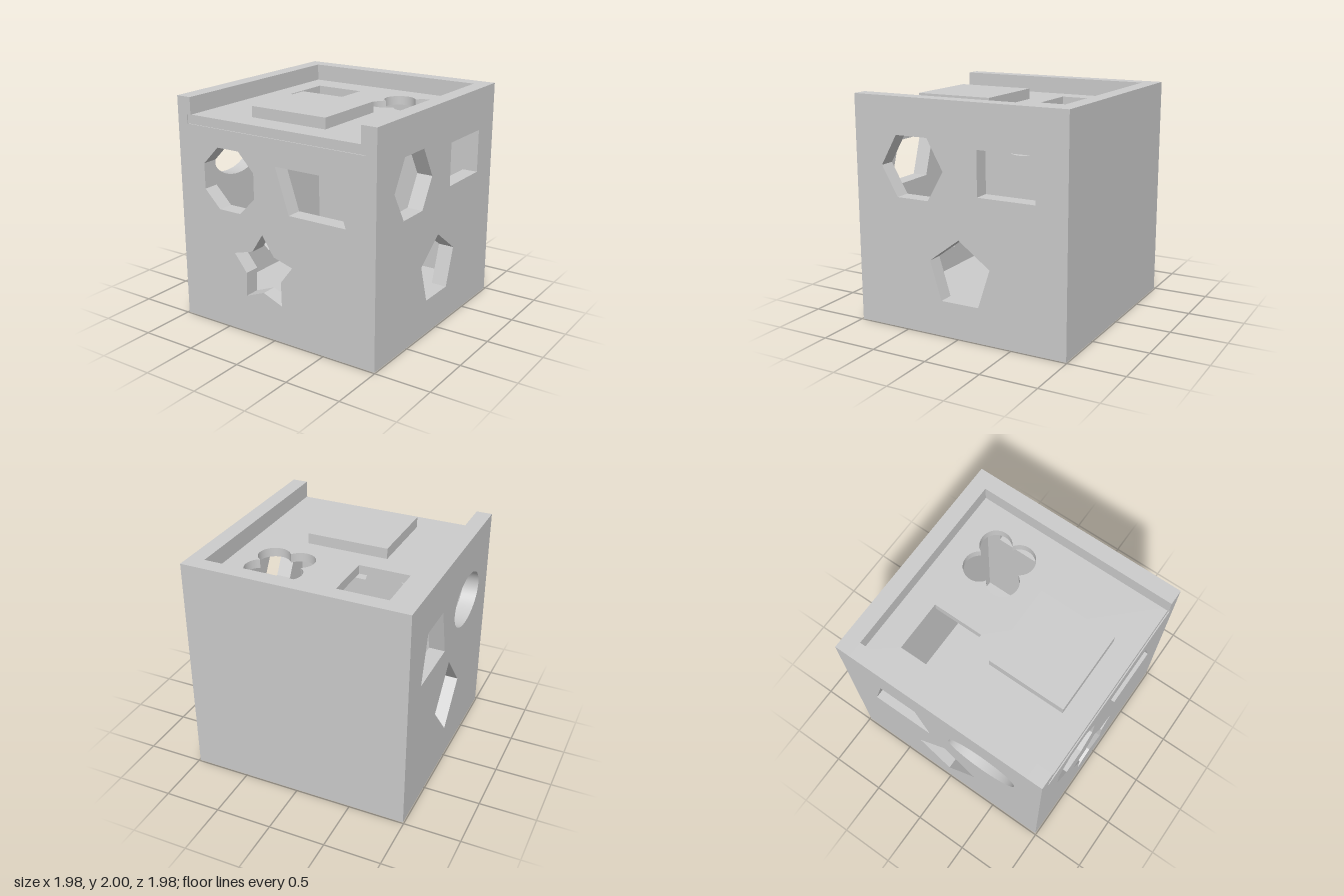
import * as THREE from 'three';
import { toCreasedNormals } from 'three/addons/utils/BufferGeometryUtils.js';

const S = 0.99; // half width of the box
const T = 0.14; // wall thickness
const IN = S - T; // half width of the cavity
const LID = { half: 0.89, bottom: 1.77, top: 1.85, front: 0.98 };

const material = new THREE.MeshStandardMaterial({ color: 0xcccccc });

const poly = (points) => new THREE.Shape(points.map(([x, y]) => new THREE.Vector2(x, y)));
const rect = (x0, y0, x1, y1) => poly([[x0, y0], [x1, y0], [x1, y1], [x0, y1]]);
// Side walls are drawn with the horizontal axis running towards the back (-z)
const sidePoly = (points) => poly(points.map(([z, y]) => [-z, y]));

function panel(outline, holes, depth) {
  outline.holes.push(...holes);
  const geo = new THREE.ExtrudeGeometry(outline, { depth, bevelEnabled: false, curveSegments: 24 });
  return toCreasedNormals(geo, 0.5);
}

function cloverHole(cx, cy, offset, radius) {
  const path = new THREE.Path();
  const notch = Math.acos(offset / radius);
  for (let k = 0; k < 4; k++) {
    const turn = k * Math.PI / 2;
    const diagonal = turn + Math.PI / 4;
    path.absarc(
      cx + offset * Math.SQRT2 * Math.cos(diagonal),
      cy + offset * Math.SQRT2 * Math.sin(diagonal),
      radius, turn + notch - Math.PI / 2, turn + Math.PI - notch, false);
  }
  return path;
}

export function createModel() {
  const group = new THREE.Group();
  const add = (name, geo) => {
    const mesh = new THREE.Mesh(geo, material);
    mesh.name = name;
    group.add(mesh);
  };
  const addBox = (name, w, h, d, x, y, z) =>
    add(name, new THREE.BoxGeometry(w, h, d).translate(x, y, z));

  // Front wall, notched for the sliding lid
  const right = [[S, 0], [S, 2], [IN, 2], [IN, LID.top], [LID.half, LID.top], [LID.half, LID.bottom]];
  const left = right.map(([x, y]) => [-x, y]).reverse();
  const octagon = poly([[-0.72, 1.45], [-0.72, 1.225], [-0.565, 1.07], [-0.345, 1.07],
    [-0.19, 1.225], [-0.19, 1.45], [-0.345, 1.61], [-0.565, 1.61]]);
  const parallelogram = poly([[0.035, 1.545], [0.165, 1.155], [0.715, 1.155], [0.58, 1.545]]);
  const star = poly([[-0.115, 0.93], [-0.225, 0.76], [-0.42, 0.705], [-0.295, 0.55], [-0.305, 0.335],
    [-0.115, 0.41], [0.075, 0.335], [0.07, 0.55], [0.19, 0.705], [0, 0.76]]);
  add('frontWall', panel(poly([...right, ...left]), [octagon, parallelogram, star], T).translate(0, 0, IN));

  // Left wall (+x): hexagon, rectangle and pentagon openings
  const hexagon = sidePoly([[0.73, 1.415], [0.58, 1.155], [0.28, 1.155], [0.13, 1.415], [0.28, 1.68], [0.58, 1.68]]);
  const rectangle = sidePoly([[-0.19, 1.24], [-0.71, 1.24], [-0.71, 1.625], [-0.19, 1.625]]);
  const pentagon = sidePoly([[-0.01, 0.86], [0.27, 0.65], [0.165, 0.31], [-0.19, 0.31], [-0.3, 0.65]]);
  add('leftWall', panel(rect(-IN, 0, IN, 2), [hexagon, rectangle, pentagon], T)
    .rotateY(Math.PI / 2).translate(IN, 0, 0));

  // Right wall (-x): ellipse, trapezoid and diamond openings
  const ellipse = new THREE.Path().absellipse(-0.405, 1.428, 0.33, 0.228, 0, Math.PI * 2);
  const trapezoid = sidePoly([[-0.14, 1.205], [-0.71, 1.205], [-0.6, 1.635], [-0.25, 1.635]]);
  const diamond = sidePoly([[0, 1.015], [0.3, 0.66], [0, 0.305], [-0.3, 0.66]]);
  add('rightWall', panel(rect(-IN, 0, IN, 2), [ellipse, trapezoid, diamond], T)
    .rotateY(Math.PI / 2).translate(-S, 0, 0));

  // Solid back and floor
  addBox('backWall', 2 * S, 2, T, 0, 1, -S + T / 2);
  addBox('floor', 2 * IN, T, 2 * IN, 0, T / 2, 0);

  // Sliding lid with a square and a clover opening, its edges held in the walls
  const square = rect(-0.66, 0.145, -0.2, 0.61);
  const clover = cloverHole(0.41, 0.395, 0.12, 0.14);
  add('slidingLid', panel(rect(-LID.half, -LID.front, LID.half, LID.half), [square, clover], LID.top - LID.bottom)
    .rotateX(-Math.PI / 2).translate(0, LID.bottom, 0));

  // Raised block for pushing the lid
  addBox('lidGrip', 0.74, 0.095, 0.71, 0, LID.top + 0.0475, 0.41);

  return group;
}
